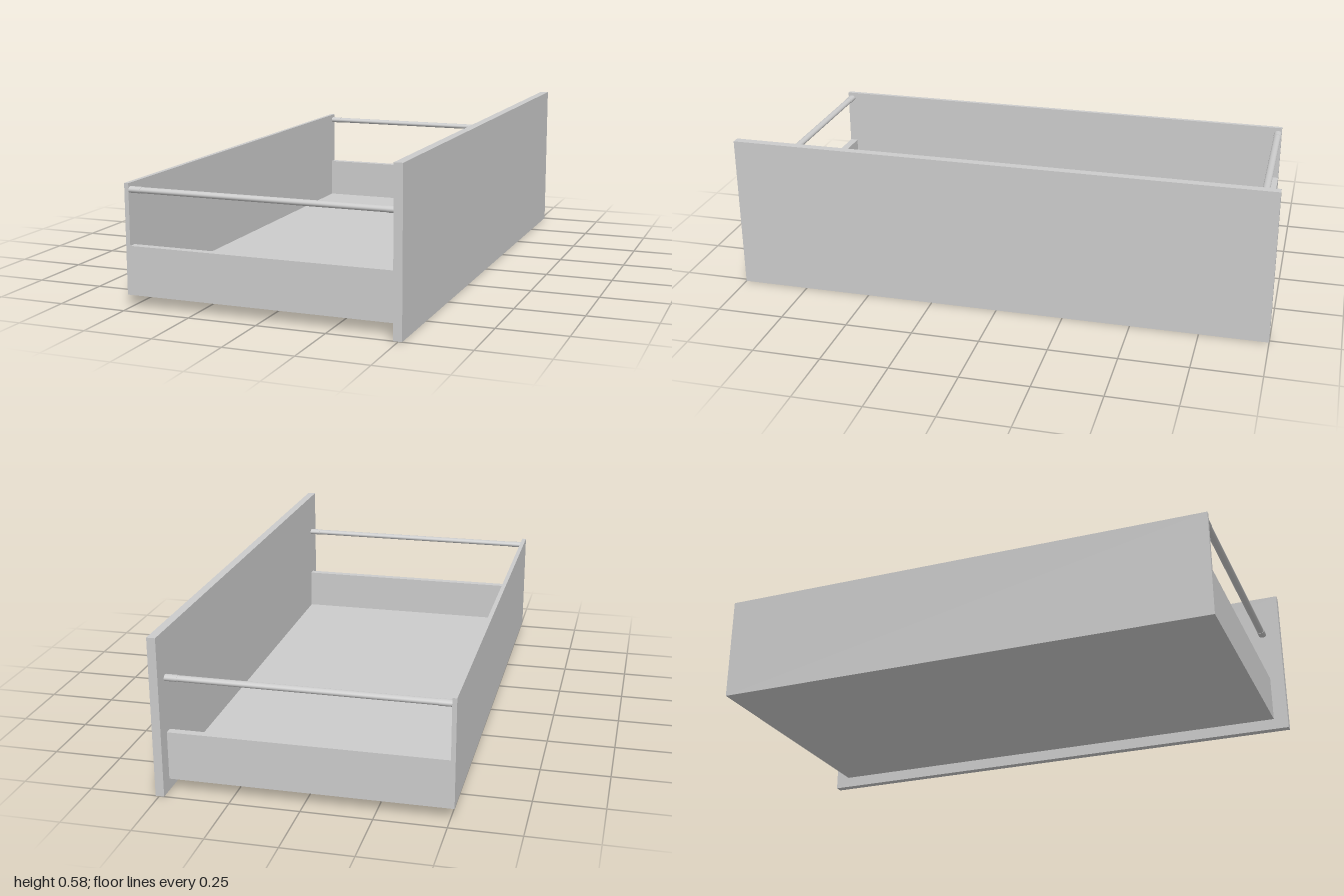
import * as THREE from 'three';

const material = new THREE.MeshStandardMaterial({ color: 0xcccccc });

// Box given by its lower and upper limits on each axis
function panel(name, [x0, x1], [y0, y1], [z0, z1]) {
  const mesh = new THREE.Mesh(new THREE.BoxGeometry(x1 - x0, y1 - y0, z1 - z0), material);
  mesh.position.set((x0 + x1) / 2, (y0 + y1) / 2, (z0 + z1) / 2);
  mesh.name = name;
  return mesh;
}

// Oval bar running along x
function bar(name, x0, x1, y, z, height, depth) {
  const geometry = new THREE.CylinderGeometry(0.5, 0.5, x1 - x0, 32);
  geometry.rotateZ(Math.PI / 2);
  geometry.scale(1, height, depth);
  const mesh = new THREE.Mesh(geometry, material);
  mesh.position.set((x0 + x1) / 2, y, z);
  mesh.name = name;
  return mesh;
}

export function createModel() {
  const group = new THREE.Group();
  group.name = 'drawer';

  const inner = [-0.498, 0.482]; // span between back panel and drawer front
  const halfWidth = 0.945;
  const wall = 0.03;
  const base = 0.042;

  // Large drawer front, lower back panel and floor
  group.add(
    panel('drawerFront', [0.482, 0.513], [0, 0.578], [-1, 1]),
    panel('backPanel', [-0.514, -0.498], [base, 0.437], [-halfWidth, halfWidth]),
    panel('floor', inner, [base, 0.06], [-halfWidth + wall, halfWidth - wall])
  );

  // Low side wall with a railing above it, on both sides
  for (const [side, s] of [['left', 1], ['right', -1]]) {
    const z = s * (halfWidth - wall / 2);
    const y = 0.413;
    group.add(
      panel(side + 'SideWall', inner, [base, 0.217], [z - wall / 2, z + wall / 2]),
      bar(side + 'Rail', inner[0] + 0.043, inner[1] - 0.043, y, z, 0.021, 0.028),
      bar(side + 'RailBackSocket', inner[0], inner[0] + 0.043, y, z, 0.023, 0.031),
      bar(side + 'RailFrontSocket', inner[1] - 0.043, inner[1], y, z, 0.023, 0.031)
    );
  }
  return group;
}
